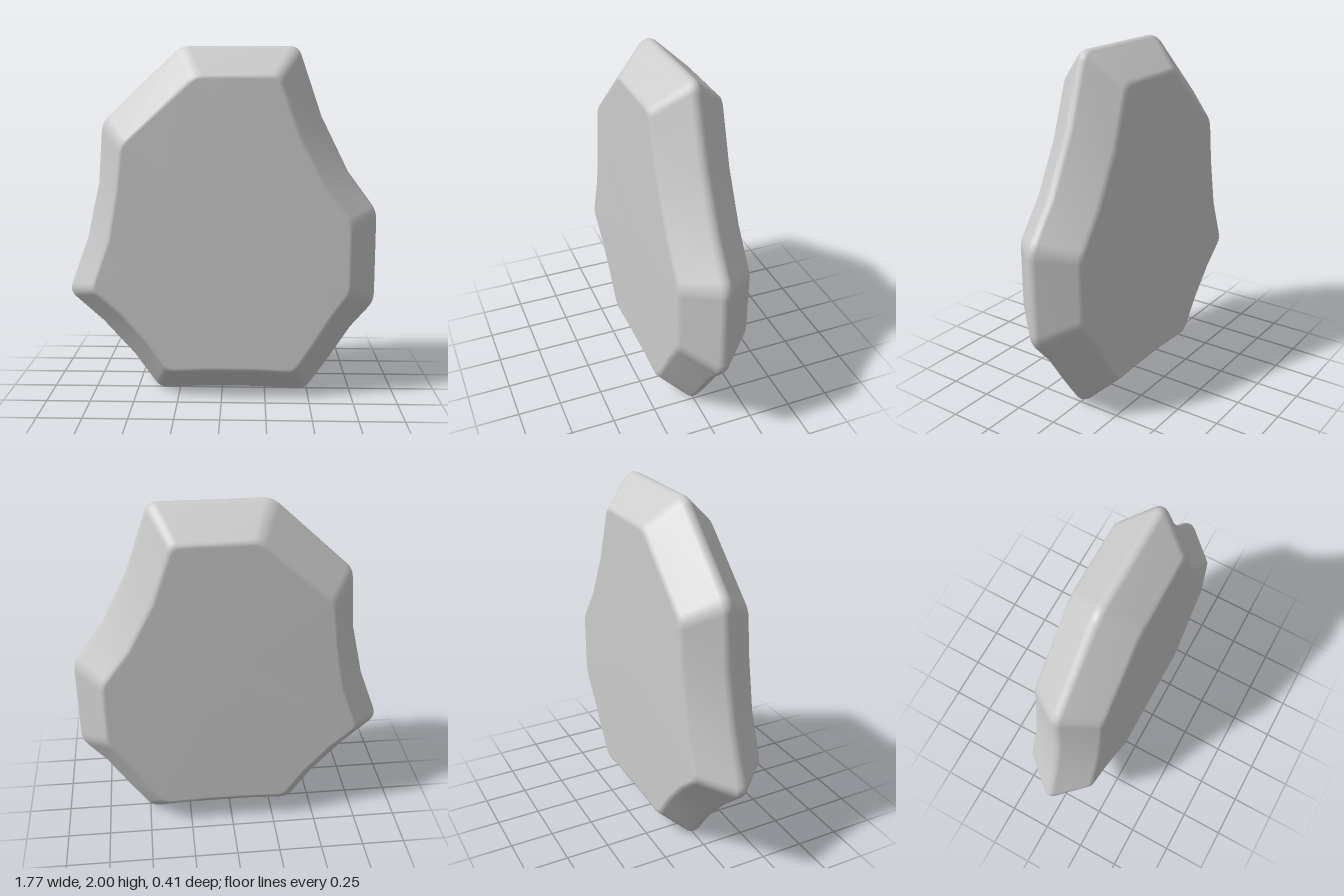
import * as THREE from 'three';

// Plan stations, counter-clockwise: [outer x, outer y, inner x, inner y, is corner]
const STATIONS = [
  [-0.23, 2.0, -0.14, 1.83, 1],
  [-0.685, 1.575, -0.55, 1.46, 1],
  [-0.71, 1.23, -0.58, 1.2, 0],
  [-0.785, 0.9, -0.63, 0.92, 0],
  [-0.9, 0.59, -0.73, 0.645, 1],
  [-0.7, 0.41, -0.575, 0.51, 0],
  [-0.52, 0.21, -0.43, 0.345, 0],
  [-0.37, -0.002, -0.31, 0.17, 1],
  [-0.1, 0.012, -0.07, 0.18, 0],
  [0.2, 0.012, 0.18, 0.18, 0],
  [0.49, -0.002, 0.41, 0.17, 1],
  [0.62, 0.185, 0.51, 0.32, 0],
  [0.75, 0.385, 0.61, 0.485, 0],
  [0.885, 0.54, 0.72, 0.64, 1],
  [0.885, 1.07, 0.72, 1.02, 1],
  [0.715, 1.3, 0.565, 1.23, 0],
  [0.56, 1.61, 0.425, 1.5, 0],
  [0.425, 2.0, 0.31, 1.83, 1],
];

// Edge profile: [blend from outer to inner outline, z]
const HALF = [[0, 0], [0.015, 0.015], [0.06, 0.031], [0.88, 0.185], [0.96, 0.198], [1.06, 0.203]];
const PROFILE = [...HALF.slice(1).reverse().map(([t, z]) => [t, -z]), ...HALF];

// Replace each corner by a small quadratic arc
function roundCorners(points, isCorner, radius, steps) {
  const out = [];
  const n = points.length;
  points.forEach((p, i) => {
    if (!isCorner[i]) {
      out.push(p);
      return;
    }
    const toward = (q) => q.clone().sub(p).setLength(radius).add(p);
    const arc = new THREE.QuadraticBezierCurve(
      toward(points[(i + n - 1) % n]), p, toward(points[(i + 1) % n]));
    out.push(...arc.getPoints(steps));
  });
  return out;
}

function slabGeometry() {
  const corners = STATIONS.map((s) => s[4]);
  const outer = roundCorners(STATIONS.map((s) => new THREE.Vector2(s[0], s[1])), corners, 0.05, 4);
  const inner = roundCorners(STATIONS.map((s) => new THREE.Vector2(s[2], s[3])), corners, 0.04, 4);
  const n = outer.length;
  const positions = [];
  const index = [];

  // Rings from back to front
  for (const [t, z] of PROFILE) {
    outer.forEach((p, i) => {
      const q = p.clone().lerp(inner[i], t);
      positions.push(q.x, q.y, z);
    });
  }
  for (let r = 0; r < PROFILE.length - 1; r++) {
    for (let i = 0; i < n; i++) {
      const j = (i + 1) % n;
      const a = r * n + i, b = r * n + j, c = a + n, d = b + n;
      index.push(a, b, d, a, d, c);
    }
  }

  // Flat back and front faces
  const zMax = HALF[HALF.length - 1][1];
  const back = positions.length / 3;
  positions.push(0.05, 1, -zMax, 0.05, 1, zMax);
  const last = (PROFILE.length - 1) * n;
  for (let i = 0; i < n; i++) {
    const j = (i + 1) % n;
    index.push(back, j, i, back + 1, last + i, last + j);
  }

  const geometry = new THREE.BufferGeometry();
  geometry.setAttribute('position', new THREE.Float32BufferAttribute(positions, 3));
  geometry.setIndex(index);
  geometry.computeVertexNormals();
  return geometry;
}

export function createModel() {
  const group = new THREE.Group();
  group.name = 'stoneSlab';
  const slab = new THREE.Mesh(slabGeometry(), new THREE.MeshStandardMaterial({ color: 0xcccccc }));
  slab.name = 'bevelledStone';
  group.add(slab);
  return group;
}
